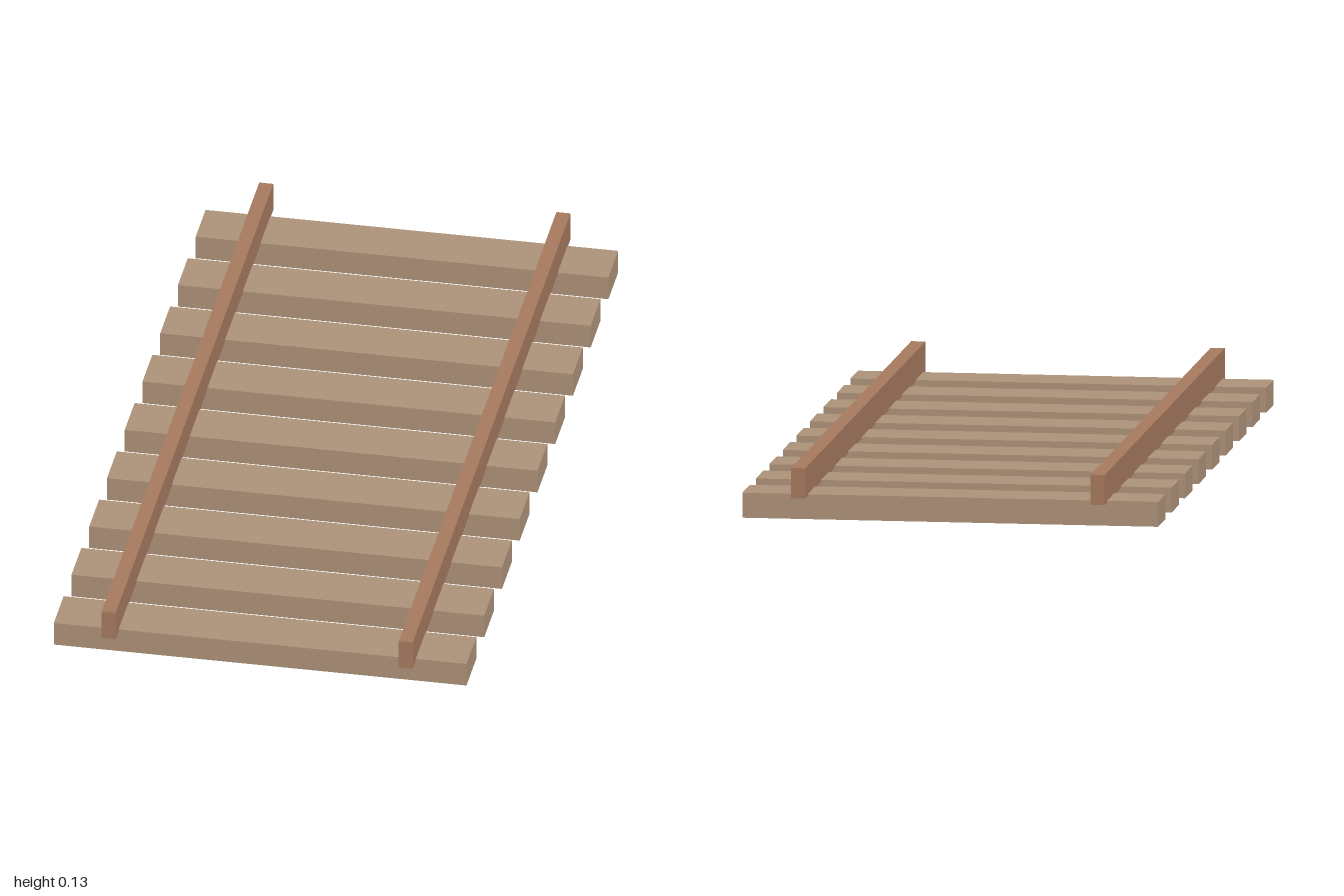
import * as THREE from 'three';

export function createModel() {
  const group = new THREE.Group();
  group.name = 'railwayTrack';
  const sleeperMaterial = new THREE.MeshStandardMaterial({ color: 0xab9178 });
  const railMaterial = new THREE.MeshStandardMaterial({ color: 0xa5785d });

  const addBox = (name, size, position, material) => {
    const mesh = new THREE.Mesh(new THREE.BoxGeometry(...size), material);
    mesh.name = name;
    mesh.position.set(...position);
    group.add(mesh);
  };

  // Nine evenly spaced cross sleepers
  const count = 9, spacing = 0.225;
  for (let i = 0; i < count; i++) {
    const z = (i - (count - 1) / 2) * spacing;
    addBox(`sleeper${i + 1}`, [1, 0.06, 0.125], [0, 0.03, z], sleeperMaterial);
  }

  // Two rails, sunk slightly into the sleepers
  for (const [name, side] of [['leftRail', 1], ['rightRail', -1]]) {
    addBox(name, [0.034, 0.073, 2], [side * 0.36, 0.0915, 0], railMaterial);
  }

  return group;
}
